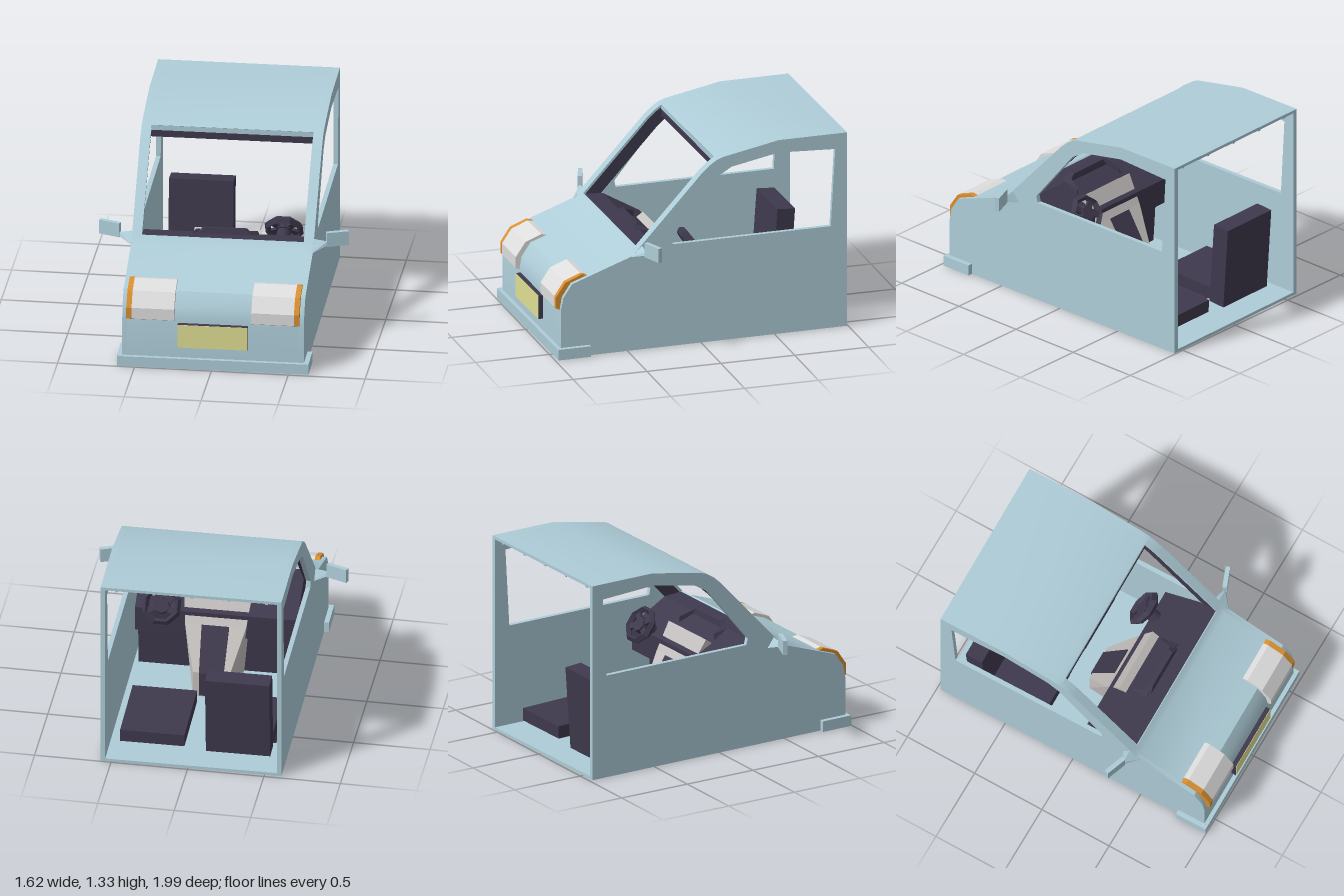
import * as THREE from 'three';
import { toCreasedNormals } from 'three/addons/utils/BufferGeometryUtils.js';
import { ConvexGeometry } from 'three/addons/geometries/ConvexGeometry.js';

const mat = (name, color, side = THREE.FrontSide) => {
  const m = new THREE.MeshStandardMaterial({ color, side });
  m.name = name;
  return m;
};
const paint = mat('body blue', 0xaecdd8);
const dark = mat('dark trim', 0x3e394d, THREE.DoubleSide);
const lens = mat('lamp white', 0xdedede);
const grey = mat('console grey', 0xc4c0be);
const amber = mat('indicator amber', 0xd98f30);
const yellow = mat('plate yellow', 0xdfdf93);

const toShape = pts => new THREE.Shape(pts.map(([a, b]) => new THREE.Vector2(a, b)));

// Extrudes a [z, y] outline sideways from x0 to x1.
function acrossX(pts, x0, x1, { hole, crease = 0.55 } = {}) {
  const shape = toShape(pts);
  if (hole) shape.holes.push(toShape(hole));
  const g = new THREE.ExtrudeGeometry(shape, { depth: x1 - x0, bevelEnabled: false });
  g.rotateY(-Math.PI / 2).translate(x1, 0, 0);
  return toCreasedNormals(g, crease);
}

// Thickens a [z, y] line towards the inside of the cab.
function ribbon(line, t) {
  const inner = line.map((p, i) => {
    const a = line[Math.max(i - 1, 0)], b = line[Math.min(i + 1, line.length - 1)];
    const dz = b[0] - a[0], dy = b[1] - a[1], l = Math.hypot(dz, dy);
    return [p[0] - dy / l * t, p[1] + dz / l * t];
  });
  return [...line, ...inner.reverse()];
}

export function createModel() {
  const model = new THREE.Group();
  const cab = new THREE.Group();
  cab.name = 'cab';
  cab.rotation.y = 0.014;
  cab.position.x = -0.007;
  model.add(cab);

  const add = (name, geo, m, parent = cab) => {
    const mesh = new THREE.Mesh(geo, m);
    mesh.name = name;
    parent.add(mesh);
    return mesh;
  };
  const box = (name, x, y, z, w, h, d, m, parent) => {
    const mesh = add(name, new THREE.BoxGeometry(w, h, d), m, parent);
    mesh.position.set(x, y, z);
    return mesh;
  };
  const hull = (name, pts, m) => {
    const g = new ConvexGeometry(pts.map(p => new THREE.Vector3(...p)));
    return add(name, g, m);
  };

  // Body skin: nose, windscreen pillars and roof
  const nose = [[0.96, 0], [0.96, 0.33], [0.945, 0.41], [0.885, 0.5], [0.8, 0.53], [0.475, 0.645], [0.432, 0.692]];
  const screen = [[0.432, 0.692], [0, 1.16], [-0.05, 1.205], [-0.1, 1.238]];
  const roof = [[-0.1, 1.238], [-0.14, 1.253], [-0.52, 1.325], [-0.985, 1.325]];
  add('nosePanel', acrossX(ribbon(nose, 0.01), -0.56, 0.56), paint);
  add('roofPanel', acrossX(ribbon(roof, 0.02), -0.56, 0.56), paint);

  // Side panels with window openings, dark linings on the windscreen pillars
  const side = [...nose, ...screen.slice(1), ...roof.slice(1), [-0.985, 0]];
  const sideWindow = [[0.2, 0.695], [0.21, 0.74], [-0.1, 1.12], [-0.2, 1.18], [-0.52, 1.24], [-0.905, 1.22], [-0.875, 0.695]];
  const lining = ribbon(screen, 0.085);
  for (const s of [-1, 1]) {
    const span = (a, b) => s > 0 ? [a, b] : [-b, -a];
    add('sidePanel', acrossX(side, ...span(0.56, 0.59), { hole: sideWindow }), paint);
    add('screenPillar', acrossX(ribbon(screen, 0.015), ...span(0.525, 0.56)), paint);
    add('pillarLining', acrossX(lining.map(([z, y]) => [z - 0.012, y - 0.012]), ...span(0.535, 0.559)), dark);
  }
  add('headerEdge', acrossX([[-0.1, 1.236], [-0.1, 1.203], [-0.15, 1.215], [-0.15, 1.248]], -0.535, 0.535), paint);
  add('headerLining', acrossX([[-0.102, 1.203], [-0.102, 1.157], [-0.125, 1.157], [-0.17, 1.2], [-0.17, 1.235]], -0.535, 0.535), dark);

  // Roof ribs
  for (let i = -2; i <= 2; i++) box('roofRib', i * 0.245, 1.297, -0.82, 0.018, 0.02, 0.3, paint);

  // Floor, opened beneath the hollow seat pedestals
  const floor = toShape([[-0.56, -0.985], [0.56, -0.985], [0.56, 0.95], [-0.56, 0.95]]);
  for (const s of [-1, 1]) {
    const c = 0.3 * s;
    floor.holes.push(toShape([[c - 0.2, -0.63], [c + 0.2, -0.63], [c + 0.2, -0.3], [c - 0.2, -0.3]]));
  }
  const floorGeo = new THREE.ExtrudeGeometry(floor, { depth: 0.02, bevelEnabled: false });
  add('floor', floorGeo.rotateX(Math.PI / 2).translate(0, 0.02, 0), paint);

  // Seats: the driver's place has a cushion only
  for (const s of [-1, 1]) {
    const pedestal = new THREE.CylinderGeometry(0.7, 1, 0.07, 4, 1, true).rotateY(Math.PI / 4);
    pedestal.scale(0.2 * Math.SQRT2, 1, 0.165 * Math.SQRT2);
    add('seatPedestal', toCreasedNormals(pedestal, 0.3), dark).position.set(0.3 * s, 0.035, -0.465);
    box('seatCushion', 0.28 * s, 0.105, -0.555, 0.42, 0.085, 0.52, dark).rotation.x = -0.03;
  }
  box('seatBack', -0.28, 0.318, -0.775, 0.42, 0.56, 0.12, dark).rotation.x = -0.07;

  // Dashboard falling towards the rear, with a raised instrument cowl
  add('dashboard', acrossX([[0.445, 0.64], [0.425, 0.684], [0.3, 0.676], [0.05, 0.53], [0.05, 0.36],
    [0.18, 0.32], [0.2, 0.02], [0.25, 0.02], [0.43, 0.5]], -0.53, 0.53, { crease: 0.3 }), dark);
  hull('instrumentCowl', [
    [-0.22, 0.65, 0.345], [0.22, 0.65, 0.345], [-0.22, 0.62, 0.28], [0.22, 0.62, 0.28],
    [-0.13, 0.715, 0.325], [0.13, 0.715, 0.325], [-0.14, 0.71, 0.29], [0.14, 0.71, 0.29]], dark);
  for (const s of [-1, 1]) {
    hull('cowlWing', [
      [0.2 * s, 0.62, 0.32], [0.225 * s, 0.62, 0.32], [0.2 * s, 0.59, 0.2], [0.225 * s, 0.59, 0.2],
      [0.16 * s, 0.705, 0.32], [0.21 * s, 0.68, 0.32], [0.2 * s, 0.655, 0.2]], dark);
  }

  // Centre console: sloping upper face, tapered lower part and dark inlay
  const row = (w, y, z) => [[-w, y, z], [w, y, z]];
  hull('consoleTop', [...row(0.22, 0.635, 0.13), ...row(0.2, 0.46, 0.025), ...row(0.22, 0.6, 0.18), ...row(0.2, 0.44, 0.2)], grey);
  hull('consoleBase', [...row(0.2, 0.46, 0.025), ...row(0.12, 0.2, -0.15), ...row(0.12, 0.02, -0.15),
    ...row(0.2, 0.44, 0.2), ...row(0.16, 0.02, 0.2)], grey);
  hull('consoleInlay', [...row(0.09, 0.46, 0.017), ...row(0.08, 0.2, -0.158), ...row(0.08, 0.03, -0.158),
    ...row(0.09, 0.44, 0.03), ...row(0.08, 0.03, -0.13)], dark);

  // Steering wheel and column
  const wheel = new THREE.Group();
  wheel.name = 'steeringWheel';
  wheel.position.set(0.345, 0.595, -0.005);
  wheel.rotation.x = -Math.PI * 0.81;
  cab.add(wheel);
  const rim = new THREE.TorusGeometry(0.112, 0.021, 4, 8).rotateZ(Math.PI / 8).scale(1, 1, 1.3);
  add('wheelRim', toCreasedNormals(rim, 0.3), dark, wheel);
  const hub = new THREE.CylinderGeometry(0.05, 0.055, 0.04, 8).rotateX(Math.PI / 2);
  add('wheelHub', toCreasedNormals(hub, 0.3), dark, wheel);
  for (const a of [0.4, Math.PI - 0.4, Math.PI + 0.7, -0.7]) {
    const spoke = box('wheelSpoke', 0.07 * Math.cos(a), 0.07 * Math.sin(a), 0, 0.09, 0.04, 0.02, dark, wheel);
    spoke.rotation.z = a;
  }
  const column = new THREE.CylinderGeometry(0.045, 0.045, 0.2, 8).rotateX(Math.PI / 2);
  add('steeringColumn', column, dark, wheel).position.z = -0.1;

  // Wrap-around headlamps with amber outer strips
  const lamp = [[0.95, 0.318], [0.985, 0.335], [0.985, 0.41], [0.92, 0.505], [0.81, 0.548], [0.775, 0.54], [0.88, 0.49], [0.94, 0.405]];
  for (const s of [-1, 1]) {
    const span = (a, b) => s > 0 ? [a, b] : [-b, -a];
    add('headlamp', acrossX(lamp, ...span(0.25, 0.527), { crease: 0.2 }), lens);
    add('indicator', acrossX(lamp, ...span(0.527, 0.561), { crease: 0.2 }), amber);
  }

  // Number plate and bumper
  box('plateHolder', 0, 0.23, 0.973, 0.455, 0.16, 0.036, dark);
  box('plateFace', 0, 0.23, 0.992, 0.453, 0.158, 0.003, yellow);
  box('bumper', 0, 0.035, 0.972, 1.244, 0.07, 0.03, paint);
  for (const s of [-1, 1]) box('bumperEnd', 0.605 * s, 0.036, 0.873, 0.034, 0.072, 0.21, paint);

  // Door mirrors on tapered arms
  for (const s of [-1, 1]) {
    const housing = box('mirrorHousing', 0.738 * s, 0.709, 0.383, 0.145, 0.096, 0.03, paint);
    housing.rotation.y = 0.36 * s;
    hull('mirrorArm', [
      [0.58 * s, 0.635, 0.49], [0.58 * s, 0.64, 0.36], [0.58 * s, 0.71, 0.41],
      [0.675 * s, 0.67, 0.42], [0.675 * s, 0.67, 0.395], [0.675 * s, 0.695, 0.41]], paint);
  }
  return model;
}
